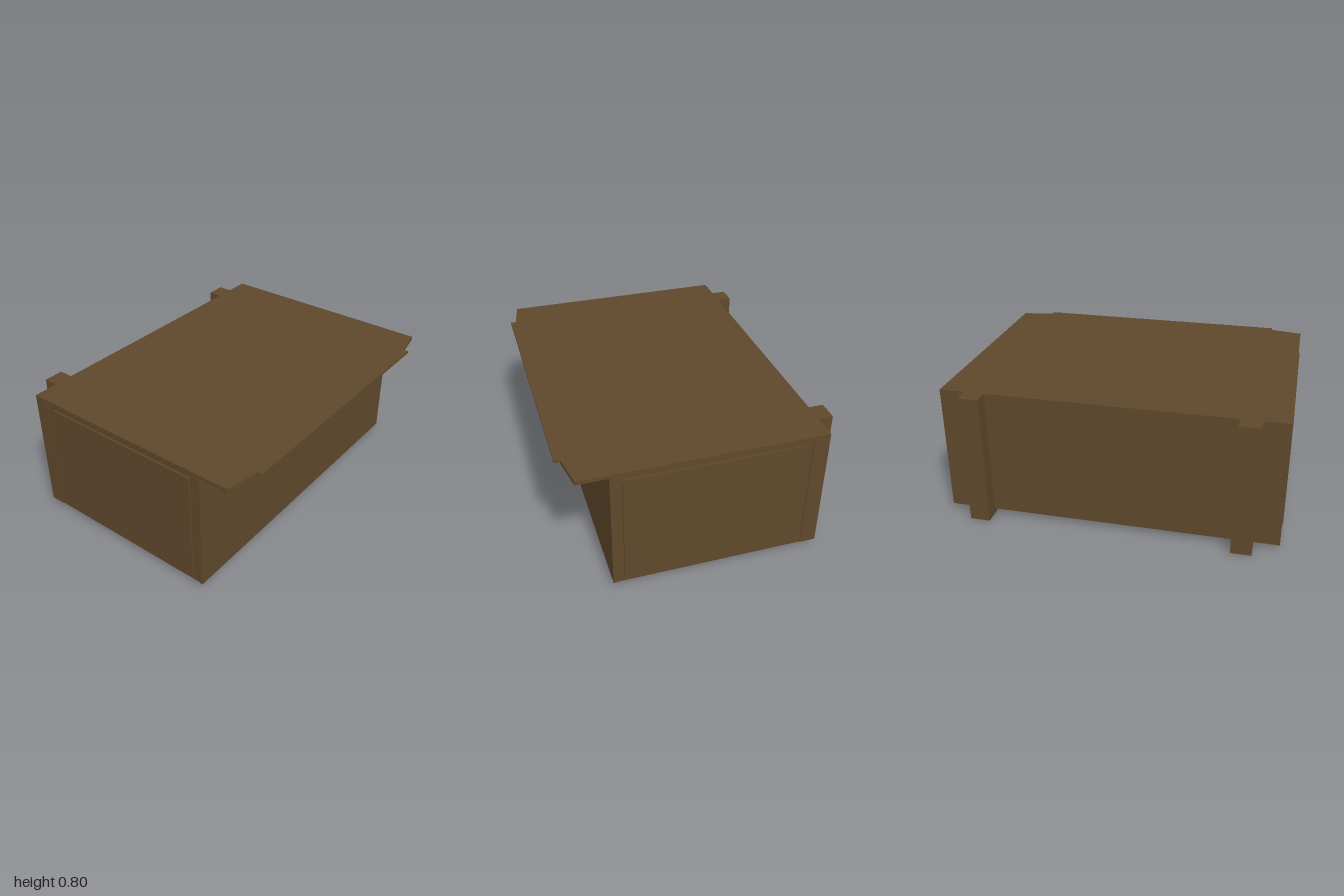
import * as THREE from 'three';

export function createModel() {
  const model = new THREE.Group();
  const wood = new THREE.MeshStandardMaterial({ color: 0x5f482b });
  wood.name = 'brown wood';

  const add = (name, geometry) => {
    const mesh = new THREE.Mesh(geometry, wood);
    mesh.name = name;
    model.add(mesh);
    return mesh;
  };
  // Box given by its lower and upper limits on each axis
  const box = (name, x0, x1, y0, y1, z0, z1) => {
    const mesh = add(name, new THREE.BoxGeometry(x1 - x0, y1 - y0, z1 - z0));
    mesh.position.set((x0 + x1) / 2, (y0 + y1) / 2, (z0 + z1) / 2);
    return mesh;
  };

  // Carcass: core between a thin front wall and a thicker back wall
  box('core', -0.986, 0.986, 0.032, 0.775, -0.595, 0.52);
  box('frontWall', -0.99, 0.99, 0.032, 0.775, 0.52, 0.535);
  box('backWall', -0.99, 0.99, 0.032, 0.775, -0.69, -0.595);

  // Top with tapered front corners
  const outline = new THREE.Shape([
    [-0.99, -0.69], [0.99, -0.69], [0.99, 0.71],
    [0.8, 0.745], [-0.8, 0.745], [-0.99, 0.71],
  ].map(([x, z]) => new THREE.Vector2(x, -z)));
  const top = new THREE.ExtrudeGeometry(outline, { depth: 0.022, bevelEnabled: false });
  top.rotateX(-Math.PI / 2);
  add('top', top).position.y = 0.775;
  box('frontLip', -0.795, 0.795, 0.783, 0.797, 0.74, 0.778);

  for (const side of [-1, 1]) {
    // Raised side panel
    const sidePanel = box('sidePanel', -0.01, 0.01, 0.08, 0.75, -0.55, 0.47);
    sidePanel.position.x = side * 0.986;
    // Back post reaching down to the ground
    const post = box('backPost', -0.06, 0.06, 0, 0.797, -0.778, -0.66);
    post.position.x = side * 0.78;
  }

  // Underside: three stepped panels, each with a row of small rounded pulls
  for (const x of [-0.64, 0, 0.64]) {
    box('bottomPanelFrame', x - 0.3, x + 0.3, 0.027, 0.034, -0.595, 0.47);
    box('bottomPanel', x - 0.255, x + 0.255, 0.021, 0.029, -0.547, 0.425);
    for (const z of [0.355, 0.08, -0.195, -0.47]) {
      const arc = new THREE.Shape();
      arc.moveTo(-0.037, 0.023);
      arc.lineTo(-0.037, 0.014);
      arc.quadraticCurveTo(-0.035, 0.006, -0.025, 0.006);
      arc.lineTo(0.025, 0.006);
      arc.quadraticCurveTo(0.035, 0.006, 0.037, 0.014);
      arc.lineTo(0.037, 0.023);
      const pull = add('bottomPull', new THREE.ExtrudeGeometry(arc, {
        depth: 0.02, bevelEnabled: false, curveSegments: 4,
      }));
      pull.position.set(x, 0, z - 0.01);
    }
  }

  return model;
}
